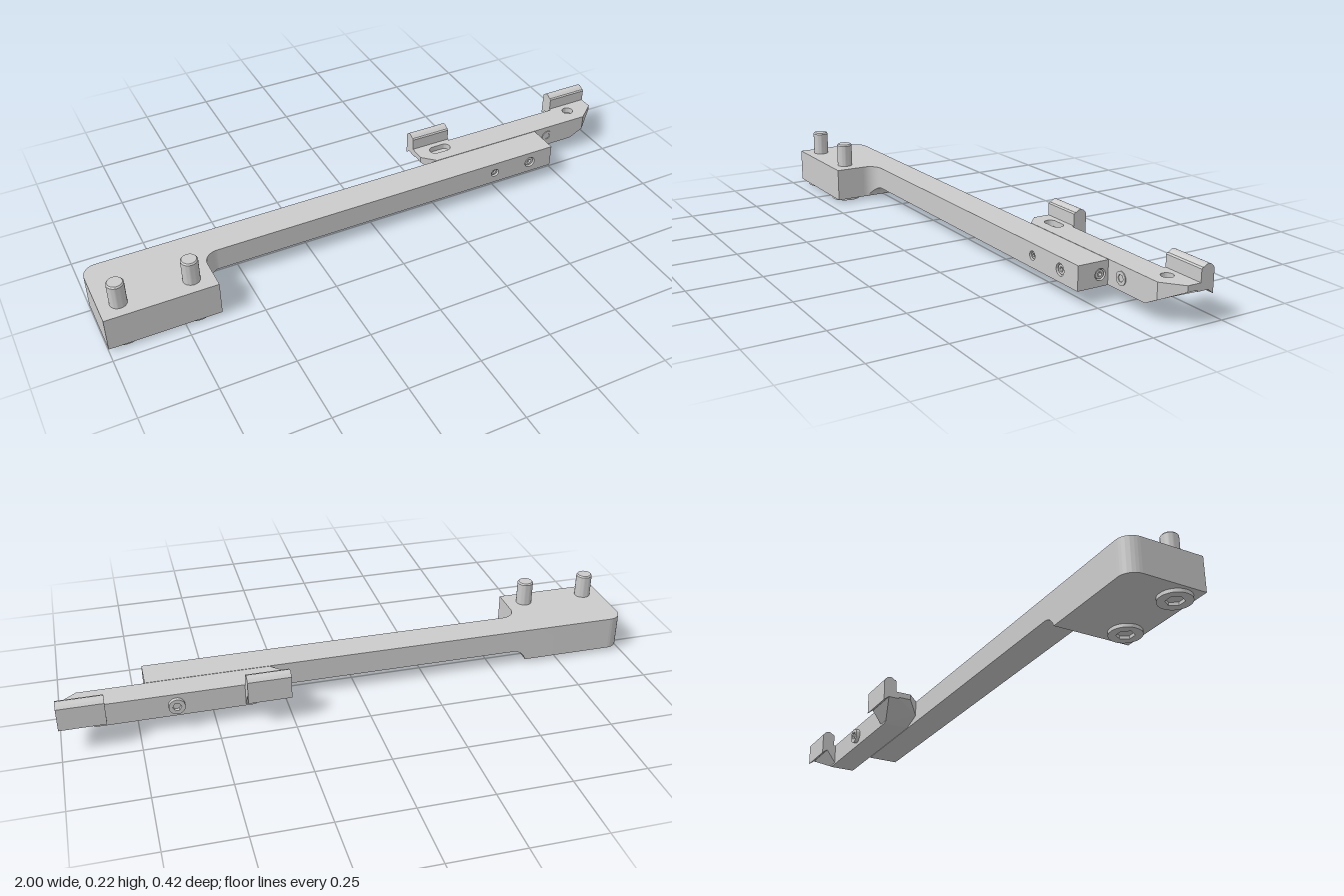
import * as THREE from 'three';
import { toCreasedNormals } from 'three/addons/utils/BufferGeometryUtils.js';
import { ConvexGeometry } from 'three/addons/geometries/ConvexGeometry.js';

const material = new THREE.MeshStandardMaterial({ color: 0xcccccc });
const V = (x, y, z) => new THREE.Vector3(x, y, z);

export function createModel() {
  const model = new THREE.Group();

  function add(name, geometry, x = 0, y = 0, z = 0, parent = model) {
    const mesh = new THREE.Mesh(geometry, material);
    mesh.name = name;
    mesh.position.set(x, y, z);
    parent.add(mesh);
    return mesh;
  }
  const poly = (pts) => new THREE.Shape(pts.map((p) => new THREE.Vector2(...p)));
  const hole = (x, y, r) => new THREE.Path().absarc(x, y, r, 0, Math.PI * 2, true);
  function extrude(shape, depth) {
    const g = new THREE.ExtrudeGeometry(shape, { depth, bevelEnabled: false, curveSegments: 20 });
    return toCreasedNormals(g, 0.6);
  }
  // Plan shape (x, z), extruded downwards
  const extrudeDown = (shape, depth) => extrude(shape, depth).rotateX(Math.PI / 2);
  // Side shape (-z, y), extruded along +x
  const extrudeAcross = (shape, depth) => extrude(shape, depth).rotateY(Math.PI / 2);

  // Screw head with a hexagonal socket, facing +z
  function socketScrew(name, r, h, x, y, z) {
    const g = new THREE.Group();
    g.name = name;
    g.position.set(x, y, z);
    const ring = new THREE.Shape().absarc(0, 0, r, 0, Math.PI * 2);
    const hex = [];
    for (let i = 0; i < 6; i++) {
      const a = (-i * Math.PI) / 3;
      hex.push(new THREE.Vector2(Math.cos(a) * r * 0.55, Math.sin(a) * r * 0.55));
    }
    ring.holes.push(new THREE.Path(hex));
    add('screwHead', extrude(ring, h), 0, 0, 0, g);
    add('socketFloor', new THREE.CircleGeometry(r * 0.9, 24), 0, 0, h * 0.1, g);
    model.add(g);
    return g;
  }

  // Mounting block with one rounded corner
  const back = -0.06, front = 0.05, top = 0.13, under = 0.05, base = 0.012;
  const block = new THREE.Shape();
  block.moveTo(-1, 0.208);
  block.lineTo(-1, back + 0.05);
  block.absarc(-0.95, back + 0.05, 0.05, Math.PI, Math.PI * 1.5, false);
  block.lineTo(-0.63, back);
  block.lineTo(-0.63, 0.208);
  add('mountingBlock', extrudeDown(block, top - base), 0, top, 0);

  // Filleted neck: rectangular sections that shrink along x
  const pos = [], idx = [], steps = 12, r = 0.05;
  const sections = [];
  for (let i = 0; i <= steps; i++) {
    const a = (i / steps) * Math.PI / 2;
    const x = -0.58 - r * Math.cos(a), zf = front + r - r * Math.sin(a);
    const yb = Math.max(base, under - r + r * Math.sin(a));
    sections.push([[x, yb, back], [x, yb, zf], [x, top, zf], [x, top, back]]);
  }
  for (let k = 0; k < 4; k++) {
    sections.forEach((s, i) => {
      const n = pos.length / 3;
      pos.push(...s[k], ...s[(k + 1) % 4]);
      if (i < steps) idx.push(n, n + 2, n + 1, n + 2, n + 3, n + 1);
    });
  }
  const neck = new THREE.BufferGeometry();
  neck.setAttribute('position', new THREE.Float32BufferAttribute(pos, 3));
  neck.setIndex(idx);
  neck.computeVertexNormals();
  add('filletedNeck', neck);

  // Long bar: core, drilled front skin, drilled end cap
  const skin = 0.015, x0 = -0.58, x1 = 0.715 - skin;
  const coreDepth = front - skin - back;
  add('barCore', new THREE.BoxGeometry(x1 - x0, top - under, coreDepth),
    (x0 + x1) / 2, (top + under) / 2, back + coreDepth / 2);
  const face = poly([[x0, under], [x1, under], [x1, top], [x0, top]]);
  face.holes.push(hole(0.477, 0.09, 0.015), hole(0.625, 0.09, 0.02));
  add('barFront', extrude(face, skin), 0, 0, front - skin);
  const cap = poly([[-front, under], [-back, under], [-back, top], [-front, top]]);
  cap.holes.push(hole(0.031, 0.088, 0.019));
  add('barEnd', extrudeAcross(cap, skin), x1, 0, 0);
  socketScrew('smallSetScrew', 0.011, 0.01, 0.477, 0.09, front - skin);
  socketScrew('clampSetScrew', 0.016, 0.01, 0.625, 0.09, front - skin);
  socketScrew('endSetScrew', 0.015, 0.012, x1, 0.088, -0.031).rotation.y = Math.PI / 2;

  // Mounting bolts through the block
  for (const x of [-0.935, -0.7]) {
    const pin = [[0, 0.1], [0.028, 0.1], [0.028, 0.21], [0.024, 0.215], [0, 0.215]];
    const g = new THREE.LatheGeometry(pin.map((p) => new THREE.Vector2(...p)), 28);
    add('boltShank', toCreasedNormals(g, 0.5), x, 0, 0.147);
    socketScrew('boltHead', 0.053, base, x, base, 0.147).rotation.x = Math.PI / 2;
  }

  // Clamp rail: drilled top plate over a body with sloping ends
  const L = 0.255, R = 1, rf = -0.062, rb = -0.155, ledge = 0.11;
  const plate = poly([[L, rb], [R, rb], [R, -0.115], [0.935, rf], [0.3, rf], [L, -0.105]]);
  const slot = new THREE.Path();
  slot.absarc(0.325, -0.122, 0.02, Math.PI * 1.5, Math.PI / 2, true);
  slot.absarc(0.365, -0.122, 0.02, Math.PI / 2, -Math.PI / 2, true);
  plate.holes.push(slot, hole(0.905, -0.122, 0.02));
  add('railTop', extrudeDown(plate, top - ledge), 0, top, 0);
  add('railBody', new ConvexGeometry([
    V(L, ledge, rb), V(L, ledge, -0.105), V(0.3, ledge, rf), V(0.3, 0.074, rf),
    V(R, ledge, rb), V(R, ledge, -0.115), V(0.935, ledge, rf), V(0.935, 0.076, rf),
    V(0.37, under, rb), V(0.37, under, rf), V(0.885, under, rb), V(0.885, under, rf),
  ]));
  socketScrew('railScrew', 0.022, 0.003, 0.775, 0.09, rf);
  socketScrew('rearScrew', 0.027, 0.014, 0.625, 0.09, rb).rotation.y = Math.PI;

  // Two hooked jaws at the ends of the rail
  const jaw = poly([[0.15, 0.105], [0.19, 0.105], [0.209, 0.09], [0.209, 0.168], [0.203, 0.175]]);
  jaw.quadraticCurveTo(0.187, 0.191, 0.171, 0.175);
  jaw.lineTo(0.166, 0.175);
  jaw.lineTo(0.162, 0.17);
  jaw.lineTo(0.162, top);
  jaw.lineTo(0.15, top);
  for (const [outer, inner, slope] of [[L, 0.4, 0.37], [R, 0.85, 0.885]]) {
    add('jawHook', extrudeAcross(jaw, Math.abs(outer - inner)), Math.min(outer, inner), 0, 0);
    add('jawWedge', new ConvexGeometry([
      V(inner, under, -0.15), V(inner, 0.106, -0.19), V(inner, 0.106, -0.15),
      V(slope, under, -0.15), V(outer, 0.106, -0.19), V(outer, 0.106, -0.15),
    ]));
  }
  return model;
}
